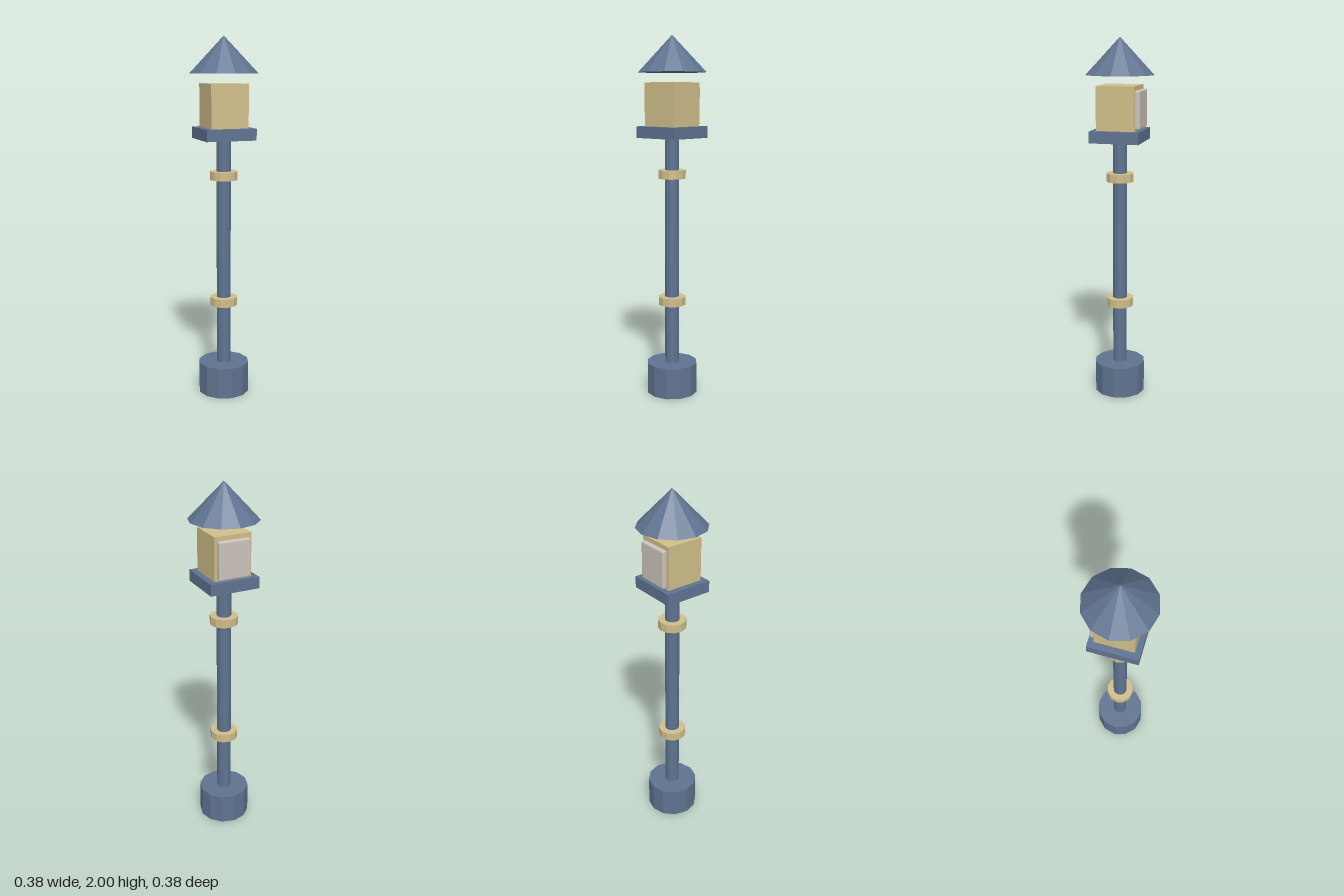
import * as THREE from 'three';
import { RoundedBoxGeometry } from 'three/addons/geometries/RoundedBoxGeometry.js';

const SIDES = 12;

function material(name, color) {
  const m = new THREE.MeshStandardMaterial({ color, flatShading: true });
  m.name = name;
  return m;
}

export function createModel() {
  const slate = material('slate blue', 0x5f7390);
  const brass = material('pale brass', 0xd0be8a);
  const pale = material('pale grey', 0xccc4ba);
  const group = new THREE.Group();
  group.name = 'lampPost';

  // Adds a part whose underside sits at height y
  function add(name, geometry, mat, y, height, z = 0) {
    const mesh = new THREE.Mesh(geometry, mat);
    mesh.name = name;
    mesh.position.set(0, y + height / 2, z);
    group.add(mesh);
  }
  const drum = (name, r, y, h, mat) =>
    add(name, new THREE.CylinderGeometry(r, r, h, SIDES), mat, y, h);

  // Foot, pole and the two collars
  drum('base', 0.143, 0, 0.175, slate);
  drum('pole', 0.04, 0.175, 1.275, slate);
  drum('lowerCollar', 0.077, 0.513, 0.047, brass);
  drum('upperCollar', 0.077, 1.228, 0.047, brass);

  // Square platform carrying the lantern
  add('platform', new THREE.BoxGeometry(0.28, 0.063, 0.27), slate, 1.45, 0.063);
  add('lantern', new THREE.BoxGeometry(0.21, 0.236, 0.21), brass, 1.513, 0.236);

  // Bevelled panel on the back of the lantern
  add('backPanel', new RoundedBoxGeometry(0.18, 0.203, 0.03, 1, 0.006), pale, 1.523, 0.203, -0.115);

  // Faceted roof floating above the lantern
  add('roof', new THREE.ConeGeometry(0.189, 0.197, SIDES), slate, 1.803, 0.197);

  return group;
}
